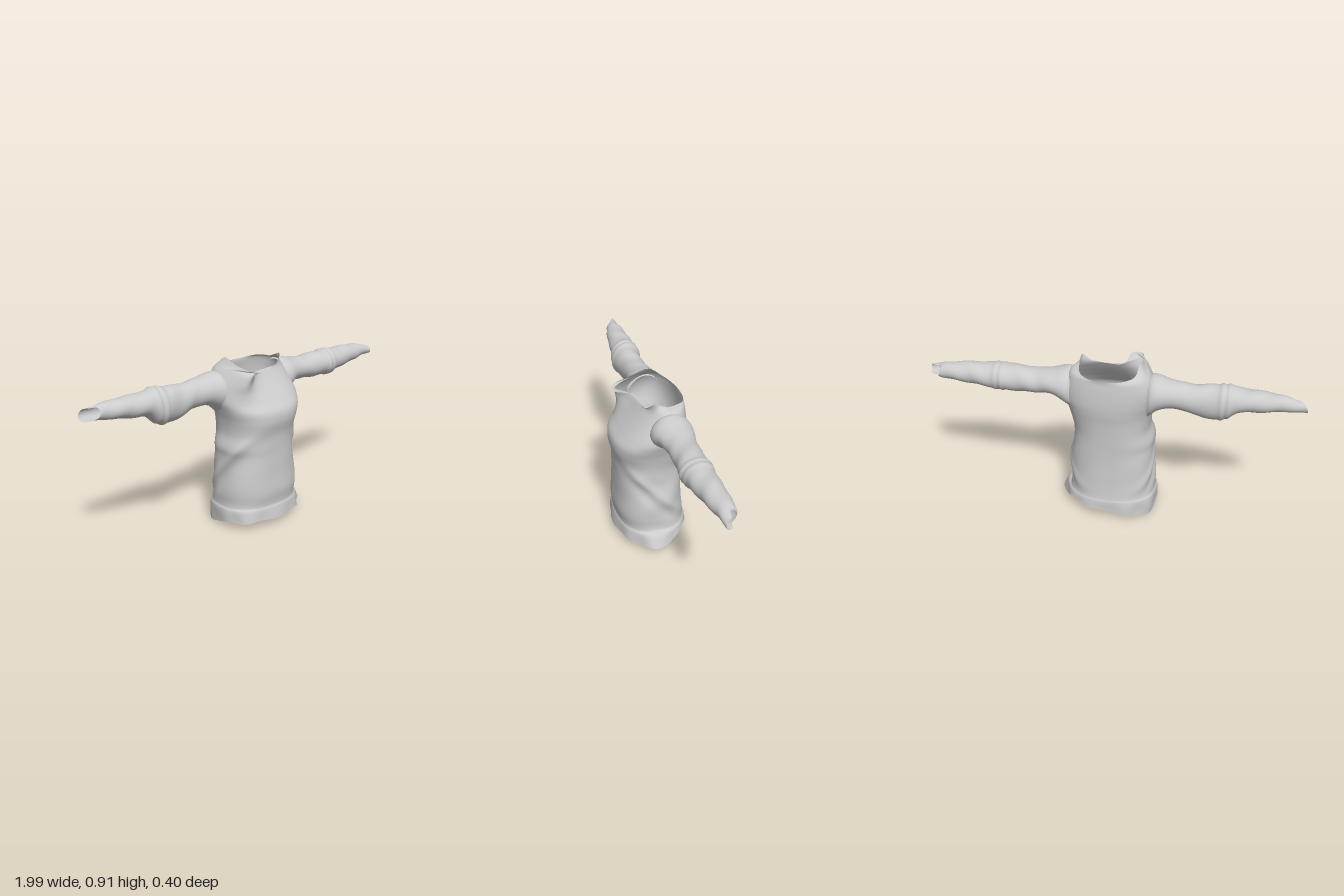
import * as THREE from 'three';

const cloth = new THREE.MeshStandardMaterial({ color: 0xcccccc, side: THREE.DoubleSide });
const V = (x, y, z) => new THREE.Vector3(x, y, z);
const bump = (d, w) => Math.exp(-(d * d) / (w * w));
// signed distance between two angles
const turn = (a, deg) => {
  const d = a - THREE.MathUtils.degToRad(deg);
  return Math.atan2(Math.sin(d), Math.cos(d));
};
const squash = (v, p) => Math.sign(v) * Math.pow(Math.abs(v), p);

// Smooth open tube through closed rings of points, shaped by a fold rule
function loft(name, rings, steps, fold) {
  const cols = rings[0].length, pos = [], index = [];
  const lines = rings[0].map((_, j) => new THREE.CatmullRomCurve3(rings.map(r => r[j])));
  for (let i = 0; i <= steps; i++) {
    for (let j = 0; j < cols; j++) {
      const p = lines[j].getPoint(i / steps);
      fold(p, (j / cols) * Math.PI * 2);
      pos.push(p.x, p.y, p.z);
    }
  }
  for (let i = 0; i < steps; i++) {
    for (let j = 0; j < cols; j++) {
      const k = (j + 1) % cols, a = i * cols + j, b = i * cols + k;
      index.push(a, a + cols, b, b, a + cols, b + cols);
    }
  }
  const g = new THREE.BufferGeometry();
  g.setAttribute('position', new THREE.Float32BufferAttribute(pos, 3));
  g.setIndex(index);
  g.computeVertexNormals();
  const mesh = new THREE.Mesh(g, cloth);
  mesh.name = name;
  return mesh;
}

function torso() {
  const N = 112;
  // y, right x, left x, front z, back z
  const body = [
    [0.048, -0.248, 0.245, 0.197, -0.198],
    [0.11, -0.247, 0.24, 0.188, -0.193],
    [0.125, -0.24, 0.232, 0.183, -0.188],
    [0.2, -0.238, 0.23, 0.191, -0.178],
    [0.3, -0.23, 0.225, 0.186, -0.172],
    [0.4, -0.221, 0.213, 0.183, -0.169],
    [0.45, -0.225, 0.21, 0.184, -0.169],
    [0.52, -0.209, 0.207, 0.187, -0.171],
    [0.6, -0.213, 0.224, 0.203, -0.176],
    [0.65, -0.225, 0.24, 0.197, -0.182],
    [0.7, -0.24, 0.255, 0.16, -0.185],
    [0.75, -0.243, 0.25, 0.12, -0.184],
    [0.8, -0.232, 0.234, 0.082, -0.18],
    [0.838, -0.2, 0.205, 0.056, -0.175],
  ];
  const rings = body.map(([y, x0, x1, zf, zb], i) => {
    const ring = [];
    const cz = y > 0.66 ? (zf + zb) / 2 : 0;
    for (let j = 0; j < N; j++) {
      const a = (j / N) * Math.PI * 2, c = squash(Math.cos(a), 0.83), s = squash(Math.sin(a), 0.83);
      const p = V((x0 + x1) / 2 + c * (x1 - x0) / 2, y, cz + s * (s > 0 ? zf - cz : cz - zb));
      // fabric swelling out below the folded right side of the collar
      if (y > 0.72) p.z += 0.85 * (y - 0.72) * bump(turn(a, 130), 0.37);
      // raised shoulder points
      if (y > 0.82) p.y += 0.02 * c * c;
      // flared, uneven hem: pulled out at the left side, lifted behind it, low at the right back
      if (i < 2) {
        const k = (i ? 0.35 : 1) * (0.18 * bump(turn(a, 6), 0.35) + 0.05 * bump(turn(a, 135), 0.3));
        p.x *= 1 + k;
        p.z *= 1 + k * 0.4;
      }
      if (i === 0) {
        p.y += 0.004 * Math.sin(7 * a) - 0.008 * bump(turn(a, 6), 0.3);
        p.y += 0.036 * bump(turn(a, -48), 0.45) - 0.043 * bump(turn(a, 213), 0.6);
      }
      ring.push(p);
    }
    return ring;
  });
  // neckline, starting at the left side and passing the front
  const neck = new THREE.CatmullRomCurve3([
    V(0.165, 0.87, -0.06), V(0.168, 0.885, -0.02), V(0.167, 0.898, 0.018), V(0.12, 0.856, 0.045),
    V(0.04, 0.843, 0.045), V(-0.045, 0.843, 0.055), V(-0.075, 0.862, 0.155), V(-0.125, 0.868, 0.15),
    V(-0.152, 0.885, 0.05), V(-0.15, 0.915, -0.06), V(-0.135, 0.872, -0.125), V(-0.08, 0.857, -0.16),
    V(0, 0.853, -0.175), V(0.075, 0.854, -0.17), V(0.13, 0.863, -0.145), V(0.155, 0.868, -0.105),
  ], true);
  rings.push(Array.from({ length: N }, (_, j) => neck.getPoint(j / N)));

  return loft('shirtBody', rings, 120, (p, a) => {
    const r = Math.hypot(p.x, p.z) || 1, side = Math.cos(a) ** 2;
    const fade = THREE.MathUtils.smoothstep(0.8 - p.y, 0, 0.15) * THREE.MathUtils.smoothstep(p.y, 0.08, 0.2);
    // diagonal drape across the sides, plus soft waist wrinkles
    const line = p.y - 0.54 + 1.08 * (0.18 - p.z);
    let d = side * (0.01 * bump(line, 0.035) - 0.008 * bump(line + 0.07, 0.045));
    d += 0.003 * Math.sin(26 * p.y + 3 * a) * (0.2 + side) * bump(p.y - 0.35, 0.25);
    d *= fade;
    // ripples along the hem
    d += 0.004 * Math.sin(9 * a) * bump(p.y - 0.05, 0.05);
    p.x += (p.x / r) * d;
    p.z += (p.z / r) * d;
  });
}

// sections: distance from centre, top y, bottom y, front z, back z
function sleeve(name, dir, sections, cuff) {
  const N = 48;
  const rings = sections.map(([x, yt, yb, zf, zb], i) => Array.from({ length: N }, (_, j) => {
    const a = (j / N) * Math.PI * 2, c = Math.cos(a), s = Math.sin(a);
    const ext = i === sections.length - 1 ? cuff(c, s) : 0;
    return V(dir * (x + ext), (yt + yb) / 2 + s * (yt - yb) / 2, (zf + zb) / 2 + c * (zf - zb) / 2);
  }));
  return loft(name, rings, 90, (p, a) => {
    // gathered band at the elbow and fine creases
    const x = Math.abs(p.x);
    const d = 0.006 * (bump(x - 0.575, 0.012) + bump(x - 0.61, 0.012))
      + 0.0018 * Math.sin(48 * x + 2 * a) * THREE.MathUtils.smoothstep(x, 0.25, 0.4);
    p.y += Math.sin(a) * d;
    p.z += Math.cos(a) * d;
  });
}

export function createModel() {
  const shirt = new THREE.Group();
  shirt.name = 'longSleevedShirt';
  shirt.add(torso());
  shirt.add(sleeve('rightSleeve', -1, [
    [0.2, 0.845, 0.62, 0.04, -0.15],
    [0.22, 0.854, 0.64, 0.045, -0.16],
    [0.25, 0.853, 0.668, 0.037, -0.16],
    [0.3, 0.842, 0.687, 0.015, -0.15],
    [0.38, 0.83, 0.685, 0, -0.14],
    [0.45, 0.828, 0.66, 0, -0.138],
    [0.52, 0.834, 0.647, 0.008, -0.14],
    [0.58, 0.84, 0.65, 0.012, -0.145],
    [0.62, 0.838, 0.675, 0.008, -0.145],
    [0.66, 0.832, 0.705, 0, -0.142],
    [0.75, 0.828, 0.718, -0.012, -0.138],
    [0.85, 0.823, 0.733, -0.032, -0.13],
    [0.89, 0.818, 0.74, -0.042, -0.125],
    [0.92, 0.808, 0.744, -0.05, -0.118],
  ], (c, s) => 0.035 - 0.04 * squash(c, 0.5) - 0.012 * s));
  shirt.add(sleeve('leftSleeve', 1, [
    [0.2, 0.848, 0.635, 0.05, -0.15],
    [0.22, 0.856, 0.65, 0.055, -0.16],
    [0.25, 0.852, 0.675, 0.053, -0.16],
    [0.3, 0.84, 0.705, 0.035, -0.15],
    [0.38, 0.828, 0.702, 0.02, -0.135],
    [0.47, 0.832, 0.695, 0.02, -0.13],
    [0.55, 0.835, 0.695, 0.027, -0.13],
    [0.6, 0.834, 0.695, 0.025, -0.128],
    [0.68, 0.831, 0.706, 0.015, -0.125],
    [0.76, 0.83, 0.717, 0.003, -0.122],
    [0.85, 0.822, 0.728, -0.012, -0.118],
    [0.91, 0.812, 0.738, -0.022, -0.113],
    [0.95, 0.8, 0.744, -0.03, -0.108],
  ], (c, s) => 0.035 * squash(c, 0.4) - 0.008 * s));
  return shirt;
}
